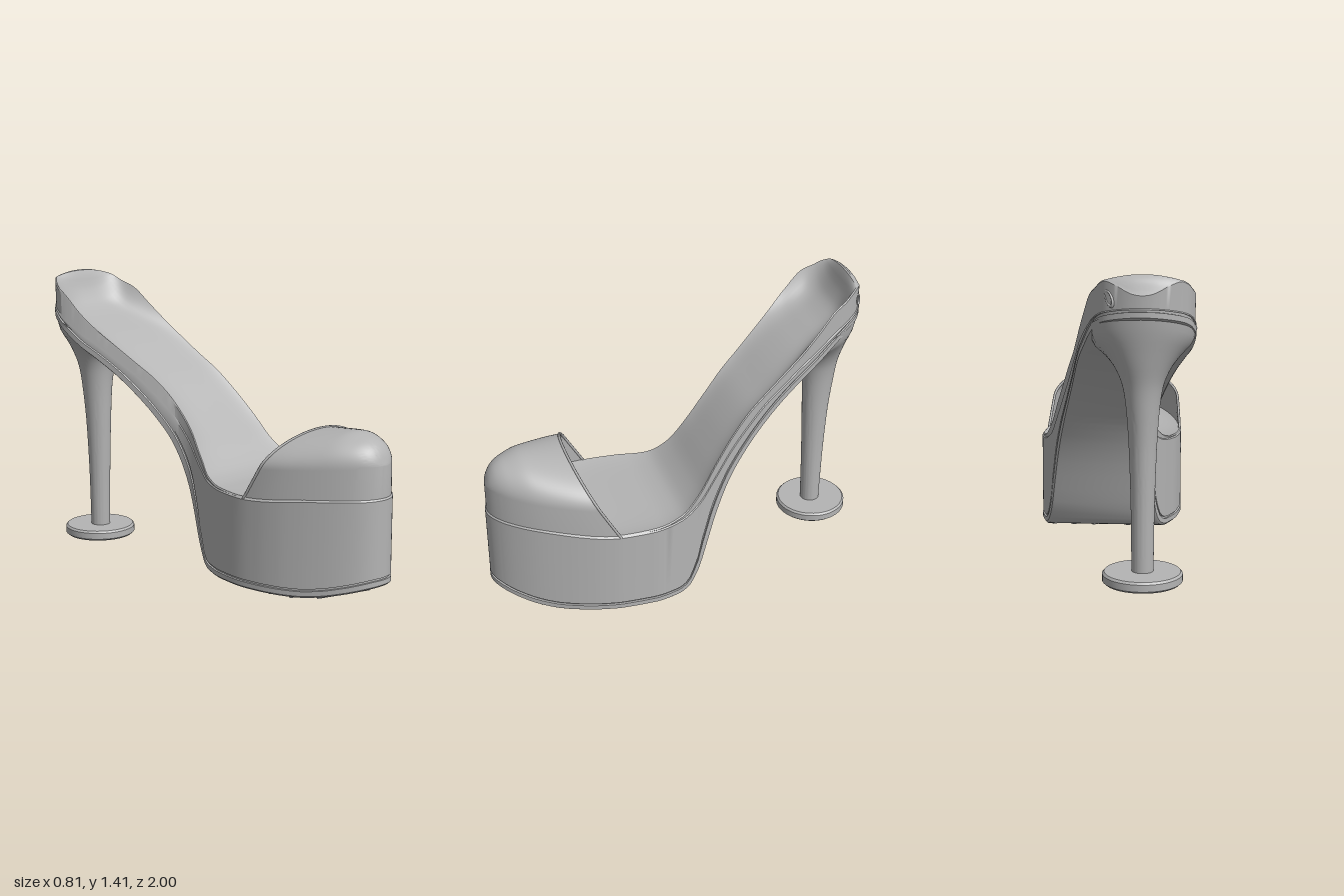
import * as THREE from 'three';
import { toCreasedNormals } from 'three/addons/utils/BufferGeometryUtils.js';

// Smooth interpolation without overshoot through rows [key ascending, value...]
function curve(rows, col = 1) {
  const n = rows.length;
  const step = (i) => rows[i + 1][0] - rows[i][0];
  const grade = (i) => (rows[i + 1][col] - rows[i][col]) / step(i);
  const slope = (i) => {
    if (i === 0) return grade(0);
    if (i === n - 1) return grade(n - 2);
    const g0 = grade(i - 1), g1 = grade(i), h0 = step(i - 1), h1 = step(i);
    if (g0 * g1 <= 0) return 0;
    return (3 * (h0 + h1)) / ((2 * h1 + h0) / g0 + (h1 + 2 * h0) / g1);
  };
  return (k) => {
    let i = 0;
    while (i < n - 2 && k > rows[i + 1][0]) i++;
    const h = step(i);
    const t = Math.min(1, Math.max(0, (k - rows[i][0]) / h)), t2 = t * t, t3 = t2 * t;
    return (2 * t3 - 3 * t2 + 1) * rows[i][col] + (t3 - 2 * t2 + t) * h * slope(i)
      + (3 * t2 - 2 * t3) * rows[i + 1][col] + (t3 - t2) * h * slope(i + 1);
  };
}

// Skin a list of cross-sections, each a list of [x, y, z]
function loft(rings, closed, crease = 0.6) {
  const m = rings[0].length, idx = [];
  for (let i = 0; i < rings.length - 1; i++) {
    for (let j = 0; j < (closed ? m : m - 1); j++) {
      const k = (j + 1) % m, a = i * m + j, b = i * m + k, c = b + m, d = a + m;
      idx.push(a, d, c, a, c, b);
    }
  }
  const g = new THREE.BufferGeometry();
  g.setAttribute('position', new THREE.Float32BufferAttribute(rings.flat(2), 3));
  g.setIndex(idx);
  return toCreasedNormals(g, crease);
}

// Plan outline: z, right edge, left edge (toe to heel)
const plan = [
  [1, 0.03, 0.03], [0.97, -0.06, 0.115], [0.9, -0.13, 0.19], [0.8, -0.195, 0.26],
  [0.7, -0.245, 0.31], [0.6, -0.283, 0.35], [0.5, -0.306, 0.38], [0.4, -0.316, 0.397],
  [0.25, -0.3, 0.402], [0.1, -0.245, 0.37], [0, -0.2, 0.33], [-0.1, -0.18, 0.287],
  [-0.2, -0.195, 0.245], [-0.3, -0.23, 0.21], [-0.4, -0.27, 0.18], [-0.5, -0.312, 0.155],
  [-0.6, -0.355, 0.13], [-0.7, -0.392, 0.1], [-0.8, -0.408, 0.065], [-0.87, -0.393, 0.035],
  [-0.93, -0.355, -0.005], [-0.98, -0.275, -0.085], [-1, -0.18, -0.18],
].map(([z, a, b]) => [Math.acos(z), a, b]);
const planR = curve(plan, 1), planL = curve(plan, 2);
const right = (z) => planR(Math.acos(z)), left = (z) => planL(Math.acos(z));

// Height profiles along z
const bottom = curve([
  [-1, 1.22], [-0.9, 1.18], [-0.8, 1.12], [-0.7, 1.05], [-0.6, 0.985], [-0.5, 0.91], [-0.4, 0.82],
  [-0.3, 0.715], [-0.2, 0.585], [-0.15, 0.495], [-0.1, 0.38], [-0.05, 0.235], [0, 0.1], [0.06, 0.025],
  [0.12, 0.008], [0.6, 0.008], [0.7, 0.01], [0.8, 0.022], [0.9, 0.045], [1, 0.075],
]);
const seam = curve([
  [-1, 1.27], [-0.9, 1.235], [-0.8, 1.19], [-0.7, 1.13], [-0.6, 1.07], [-0.5, 1.0], [-0.4, 0.93],
  [-0.3, 0.84], [-0.2, 0.74], [-0.1, 0.62], [0, 0.51], [0.1, 0.465], [0.2, 0.455], [0.4, 0.45],
  [0.8, 0.485], [1, 0.495],
]);
const rim = curve([
  [-1, 1.33], [-0.97, 1.37], [-0.94, 1.385], [-0.9, 1.368], [-0.86, 1.342], [-0.8, 1.315], [-0.7, 1.225],
  [-0.6, 1.137], [-0.5, 1.06], [-0.4, 0.985], [-0.3, 0.91], [-0.2, 0.81], [-0.1, 0.69], [0, 0.56],
  [0.1, 0.485], [0.2, 0.465], [0.4, 0.457], [0.8, 0.49], [1, 0.5],
]);
const footbed = curve([
  [-1, 1.33], [-0.97, 1.39], [-0.94, 1.41], [-0.9, 1.31], [-0.86, 1.245], [-0.8, 1.2], [-0.7, 1.15],
  [-0.6, 1.1], [-0.5, 1.04], [-0.4, 0.97], [-0.3, 0.895], [-0.2, 0.795], [-0.1, 0.675], [0, 0.55],
  [0.1, 0.475], [0.2, 0.453], [0.4, 0.445], [0.8, 0.48], [1, 0.5],
]);

// Platform, shank and heel cup in one skin, with the outsole groove and insole step
function bodyRing(z) {
  const r = right(z), l = left(z), c = (r + l) / 2, w = (l - r) / 2;
  const b = bottom(z), s = seam(z), e = rim(z), f = footbed(z);
  const k = Math.hypot(1, (bottom(z + 0.01) - bottom(z - 0.01)) / 0.02);
  const sole = b + 0.033 * k, gap = sole + 0.011 * k;
  // inset d shrinks the outline evenly on all sides; u runs across the width
  const point = (u, d, y) => [c + u * w * (1 - d / 0.3), y, z * (1 - d)];
  const side = [
    [0.01, b], [0, b + 0.01], [0, sole], [0.01, sole], [0.01, gap],
    [0.001, gap], [0.001, s - 0.006], [0.006, s], [0.004, e - 0.006],
  ];
  const ring = side.map(([d, y]) => point(1, d, y));
  const power = 6 - 3.8 * THREE.MathUtils.smoothstep(-z, 0.8, 0.94);
  for (let i = 0; i <= 24; i++) {
    const u = Math.cos((Math.PI * i) / 24);
    ring.push(point(u, 0.009, f + (e - f) * Math.abs(u) ** power));
  }
  side.reverse().forEach(([d, y]) => ring.push(point(-1, d, y)));
  return ring;
}

// Toe cap: upright wall below, dome above, rear opening raked back
const dome = curve([[0.4, 0.15], [0.6, 0.153], [0.8, 0.156], [0.9, 0.13], [0.95, 0.1], [0.98, 0.06], [1, 0.005]]);
const CAP = 36;
function capPoint(z, j) {
  const c = (right(z) + left(z)) / 2, w = ((left(z) - right(z)) / 2) * 0.965;
  const s = 0.6 + 0.09 * (z - 0.5), zi = z * 0.993;
  if (j === 0 || j === CAP + 2) return [c + (j ? -w : w) * 1.015, 0.44, zi];
  const a = (Math.PI * (j - 1)) / CAP;
  return [c + w * Math.cos(a), s + dome(z) * Math.sin(a), zi];
}
function capRing(t) {
  return Array.from({ length: CAP + 3 }, (_, j) => {
    const rake = (capPoint(0.5, j)[1] - 0.45) / 0.31;
    const end = 0.42 + 0.18 * Math.min(1, Math.max(-0.05, rake));
    return capPoint(1 - (1 - end) * t * t, j);
  });
}

// Heel: height, centre z, half width, half depth, tilt
const heelRows = [
  [0.04, -0.81, 0.05, 0.05, 0], [0.3, -0.81, 0.053, 0.056, 0], [0.6, -0.812, 0.062, 0.068, 0],
  [0.8, -0.818, 0.075, 0.083, 0], [0.9, -0.82, 0.09, 0.095, 0.05], [0.98, -0.822, 0.122, 0.115, 0.15],
  [1.04, -0.815, 0.165, 0.142, 0.28], [1.1, -0.8, 0.218, 0.178, 0.4], [1.16, -0.79, 0.237, 0.2, 0.42],
];
const heelCurves = [1, 2, 3, 4].map((c) => curve(heelRows, c));
function heelRing(y) {
  const [zc, rx, rz, tilt] = heelCurves.map((f) => f(y));
  return Array.from({ length: 48 }, (_, j) => {
    const a = (j / 48) * Math.PI * 2, dz = rz * Math.sin(a), cos = Math.cos(a);
    // the breast side squares off and leans with the shank near the top
    const front = Math.max(0, Math.sin(a)) * tilt;
    const across = Math.sign(cos) * Math.abs(cos) ** (1 - front);
    return [-0.175 + rx * across + 0.75 * rz * front, y - tilt * dz, zc + dz];
  });
}

export function createModel() {
  const model = new THREE.Group();
  const grey = new THREE.MeshStandardMaterial({ color: 0xb4b4b4, side: THREE.DoubleSide });
  grey.name = 'grey';
  const add = (name, geometry, parent = model) => {
    const mesh = new THREE.Mesh(geometry, grey);
    mesh.name = name;
    parent.add(mesh);
    return mesh;
  };

  const N = 130;
  add('platformAndFootbed', loft(Array.from({ length: N + 1 }, (_, i) => bodyRing(Math.cos((Math.PI * i) / N))), true));

  add('toeCap', loft(Array.from({ length: 31 }, (_, i) => capRing(i / 30)), false));
  const edge = capRing(1).map((p) => new THREE.Vector3(...p));
  add('toeCapRim', new THREE.TubeGeometry(new THREE.CatmullRomCurve3(edge), 90, 0.007, 6));

  add('heel', loft(Array.from({ length: 49 }, (_, i) => heelRing(0.04 + (1.12 * i) / 48)), true, 1));

  // Round heel tip
  const tip = [[0, 0], [0.172, 0], [0.183, 0.01], [0.183, 0.042], [0.174, 0.052], [0, 0.052]];
  const disc = new THREE.LatheGeometry(tip.map(([x, y]) => new THREE.Vector2(x, y)), 48);
  add('heelTip', toCreasedNormals(disc, 0.5)).position.set(-0.175, 0, -0.815);

  // Small strap eyelet at the back of the heel cup
  const eyelet = add('strapEyelet', new THREE.TorusGeometry(0.028, 0.007, 8, 24));
  eyelet.position.set(-0.035, 1.305, -0.945);
  eyelet.rotation.set(0, Math.PI * 0.75, 0.5);
  eyelet.scale.set(0.65, 1.25, 1);

  // Chevron tread bars under the outsole
  const tread = new THREE.Group();
  tread.name = 'tread';
  model.add(tread);
  const angle = 0.65;
  for (let z = 0.2; z < 0.92; z += 0.08) {
    for (const s of [-1, 1]) {
      const at = (d) => [0.035 + s * d * Math.cos(angle), z - d * Math.sin(angle)];
      let len = 0.02;
      for (; len < 0.5; len += 0.01) {
        const [x, zz] = at(len);
        if (zz < 0.13 || x > left(zz) - 0.05 || x < right(zz) + 0.05) break;
      }
      if (len < 0.05) continue;
      const [x, zz] = at(len / 2 + 0.01);
      const bar = add('treadBar', new THREE.BoxGeometry(len, 0.014, 0.042), tread);
      bar.position.set(x, bottom(zz) + 0.002, zz);
      const rise = Math.atan((bottom(zz + 0.05) - bottom(zz - 0.05)) / 0.1);
      bar.rotation.set(-rise, s * angle, 0);
    }
  }
  return model;
}
